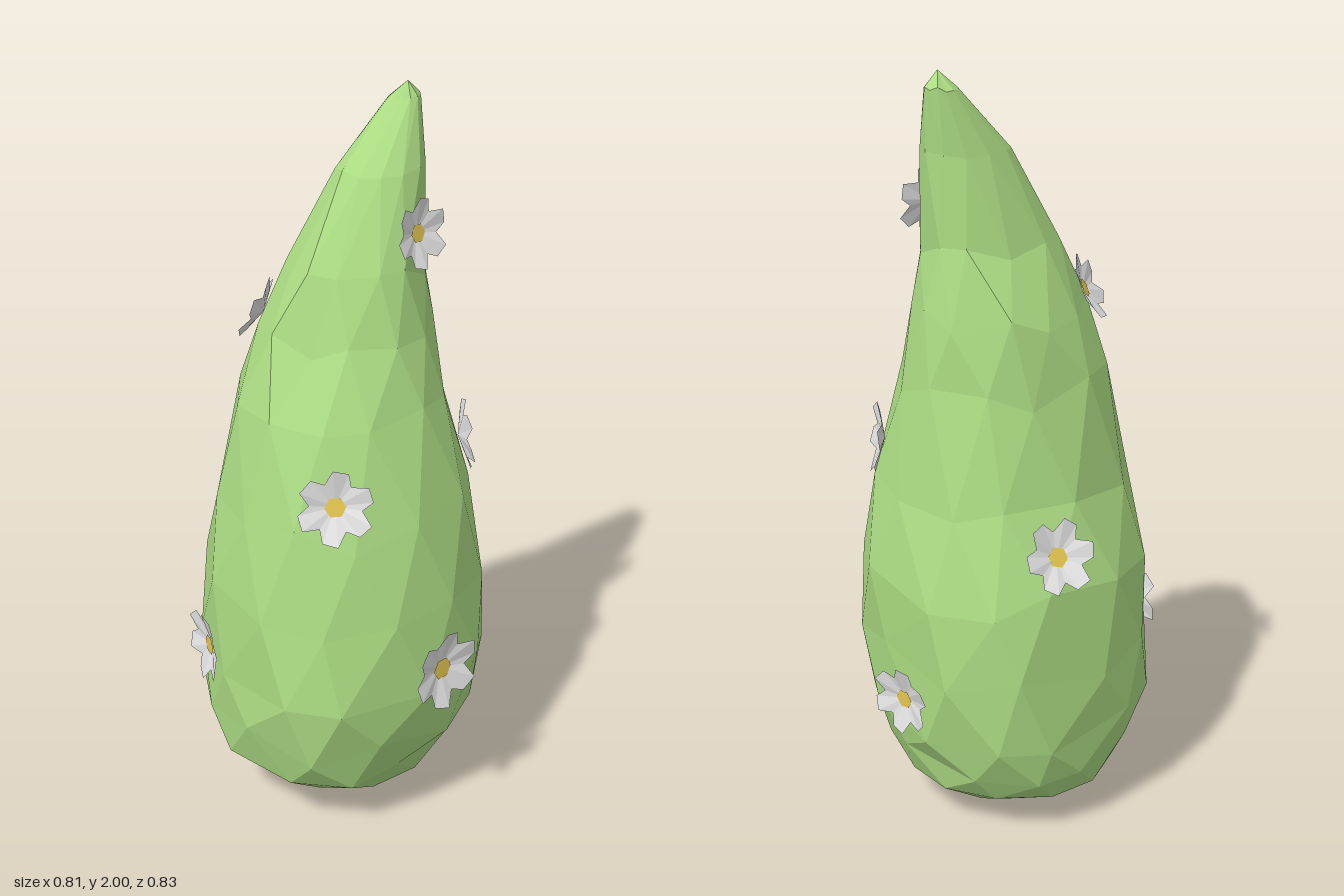
import * as THREE from 'three';

const green = new THREE.MeshStandardMaterial({ color: 0xacdc83, flatShading: true });
green.name = 'leafGreen';
const white = new THREE.MeshStandardMaterial({ color: 0xe4e4e4, flatShading: true, side: THREE.DoubleSide });
white.name = 'petalWhite';
const yellow = new THREE.MeshStandardMaterial({ color: 0xe8ca52, flatShading: true, side: THREE.DoubleSide });
yellow.name = 'pollenYellow';

// Seeded random numbers for the uneven facets
let seed = 7;
const rand = () => (seed = (seed * 16807) % 2147483647) / 2147483647;

function makeGeometry(points, index) {
  const g = new THREE.BufferGeometry();
  g.setAttribute('position', new THREE.Float32BufferAttribute(points, 3));
  g.setIndex(index);
  const flat = g.toNonIndexed();
  flat.computeVertexNormals();
  return flat;
}

// Cross-sections of the shrub: y, left x, right x, back z, front z,
// roundness (below 1 is squarer), bulge towards -x+z, bulge towards +x-z
const RINGS = [
  [0.04, -0.13, 0.19, -0.22, 0.12, 1, 0, 0],
  [0.10, -0.27, 0.295, -0.34, 0.23, 1.05, -0.03, -0.03],
  [0.19, -0.35, 0.33, -0.375, 0.295, 0.95, 0, 0],
  [0.30, -0.365, 0.357, -0.39, 0.335, 0.85, 0.03, 0.03],
  [0.47, -0.367, 0.362, -0.392, 0.365, 0.78, 0.04, 0.05],
  [0.69, -0.367, 0.37, -0.383, 0.35, 0.84, 0.02, 0.02],
  [0.93, -0.337, 0.336, -0.324, 0.32, 0.95, 0, 0],
  [1.20, -0.288, 0.288, -0.275, 0.25, 1, -0.04, 0.02],
  [1.39, -0.213, 0.258, -0.24, 0.202, 1.06, -0.12, 0.07],
  [1.56, -0.15, 0.23, -0.165, 0.155, 1, -0.15, 0.08],
  [1.80, 0, 0.24, -0.11, 0.085, 1, -0.1, 0],
  [1.96, 0.165, 0.248, -0.07, 0.01, 1, 0, 0],
];

function makeShrub() {
  const n = 12, points = [], index = [];
  RINGS.forEach(([y, x0, x1, z0, z1, power, bulgeA, bulgeB], i) => {
    const loose = i > 1 && i < 10 ? 1 : 0.2;
    const soft = (v) => Math.sign(v) * Math.abs(v) ** power;
    for (let j = 0; j < n; j++) {
      const a = ((j + (i % 2) * 0.5 + (rand() - 0.5) * 0.35 * loose) / n) * Math.PI * 2;
      const side = Math.cos(a - Math.PI * 0.75);
      const bulge = (side > 0 ? bulgeA : bulgeB) * side ** 4;
      const r = (1.015 - rand() * 0.03 * loose) * (1 + bulge);
      points.push(
        (x0 + x1) / 2 + soft(Math.cos(a)) * r * (x1 - x0) / 2,
        y + (rand() - 0.5) * 0.07 * loose,
        (z0 + z1) / 2 + soft(Math.sin(a)) * r * (z1 - z0) / 2);
    }
  });
  const bottom = points.length / 3, top = bottom + 1, last = (RINGS.length - 1) * n;
  points.push(0.03, 0, 0, 0.205, 2, -0.015);
  for (let j = 0; j < n; j++) {
    const k = (j + 1) % n;
    index.push(bottom, j, k, top, last + k, last + j);
    for (let i = 0; i < RINGS.length - 1; i++) {
      const a = i * n + j, b = i * n + k, c = a + n, d = b + n;
      if (i % 2) index.push(a, c, d, a, d, b); // zigzag between offset rings
      else index.push(a, c, b, b, c, d);
    }
  }
  const mesh = new THREE.Mesh(makeGeometry(points, index), green);
  mesh.name = 'shrub';
  return mesh;
}

// Shallow cup of six blunt petals, unit radius, facing +z
function makePetals() {
  const points = [0, 0, 0], index = [];
  const put = (r, deg, z) => {
    const a = THREE.MathUtils.degToRad(deg);
    points.push(r * Math.cos(a), r * Math.sin(a), z);
  };
  for (let i = 0; i < 6; i++) {
    const s = points.length / 3, a = i * 60 + 20;
    put(0.7, a - 30, 0.17);
    put(1, a - 14, 0.24);
    put(1.04, a + 10, 0.32);
    put(0.7, a + 30, 0.17);
    index.push(0, s, s + 1, 0, s + 1, s + 2, 0, s + 2, s + 3);
  }
  return makeGeometry(points, index);
}

// Flowers: position, facing direction, radius
const FLOWERS = [
  [[0.05, 0.53, 0.365], [0.12, 0.05, 1], 0.108],
  [[-0.19, 1.03, 0.225], [-0.55, 0.2, 0.83], 0.097],
  [[0.135, 1.65, 0.1], [0.2, 0.15, 0.95], 0.088],
  [[0.305, 1.045, 0.115], [0.87, 0.1, 0.5], 0.095],
  [[0.365, 0.37, -0.055], [1, -0.05, -0.2], 0.092],
  [[-0.365, 0.5, -0.125], [-0.98, 0, -0.2], 0.1],
  [[0.09, 0.8, -0.335], [0.15, 0.4, -0.9], 0.095],
  [[-0.145, 1.42, -0.14], [-0.55, 0.42, -0.65], 0.088],
];

export function createModel() {
  seed = 7;
  const model = new THREE.Group();
  model.name = 'floweringShrub';
  const shrub = makeShrub();
  model.add(shrub);
  shrub.updateMatrixWorld(true);

  const petalShape = makePetals();
  const centreShape = new THREE.CircleGeometry(0.29, 6);
  const ray = new THREE.Raycaster();
  FLOWERS.forEach(([p, d, radius]) => {
    const normal = new THREE.Vector3(...d).normalize();
    const pos = new THREE.Vector3(...p);
    // Seat each flower on the shrub's surface
    ray.set(pos.clone().addScaledVector(normal, 0.3), normal.clone().negate());
    const hit = ray.intersectObject(shrub)[0];
    if (hit && hit.distance < 0.4) pos.copy(hit.point);

    const flower = new THREE.Group();
    flower.name = 'flower';
    const petals = new THREE.Mesh(petalShape, white);
    petals.name = 'petals';
    const centre = new THREE.Mesh(centreShape, yellow);
    centre.name = 'flowerCentre';
    centre.position.z = 0.1;
    flower.add(petals, centre);
    flower.position.copy(pos).addScaledVector(normal, 0.002);
    flower.quaternion.setFromUnitVectors(new THREE.Vector3(0, 0, 1), normal);
    flower.scale.setScalar(radius);
    model.add(flower);
  });
  return model;
}
